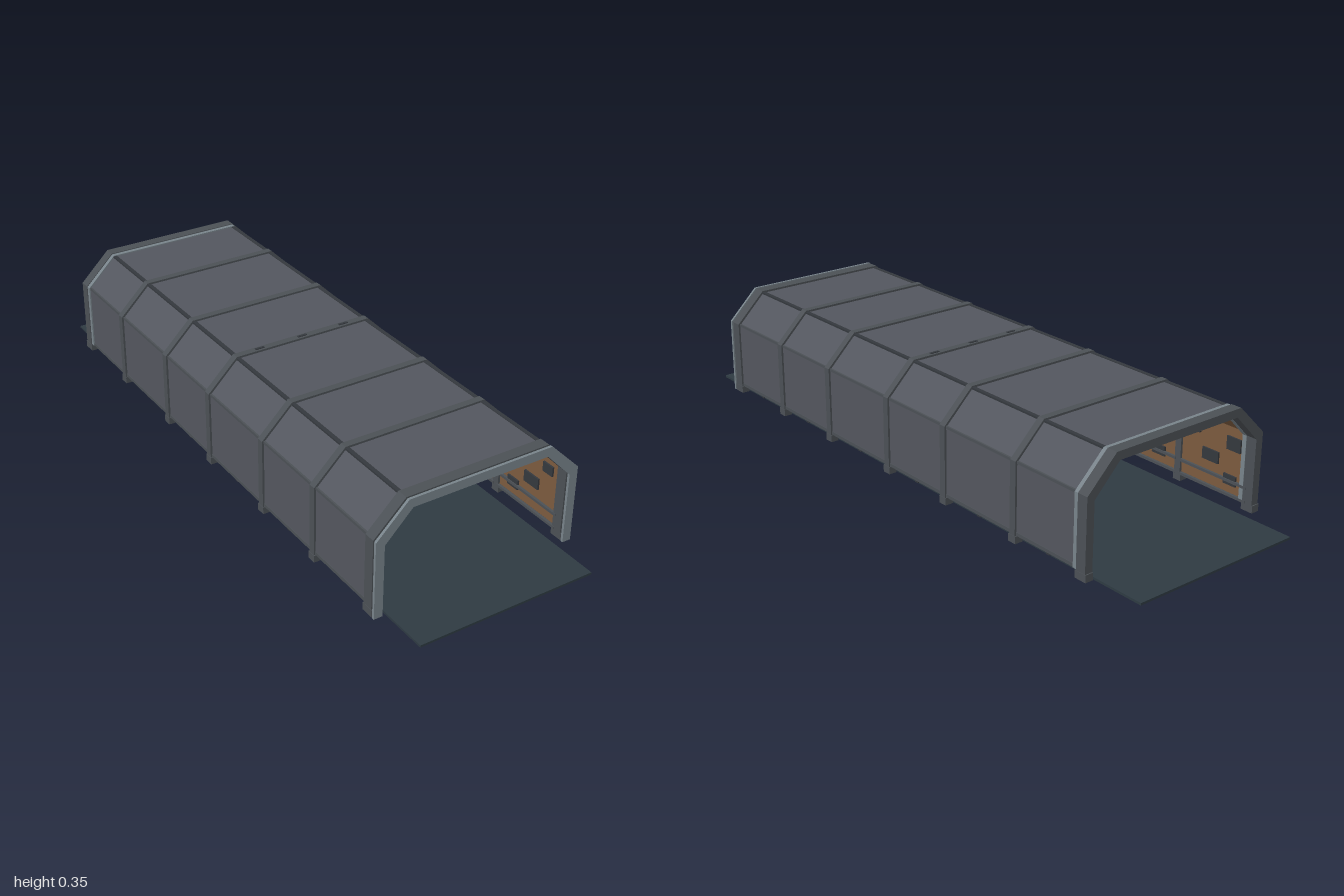
import * as THREE from 'three';

export function createModel() {
  const model = new THREE.Group();
  const mat = (name, color) => {
    const m = new THREE.MeshStandardMaterial({ color });
    m.name = name;
    return m;
  };
  const shellGrey = mat('shell grey', 0x53565e);
  const ribGrey = mat('rib grey', 0x4b5055);
  const frameGrey = mat('portal frame grey', 0x78838a);
  const darkTrim = mat('dark trim', 0x34383d);
  const floorSlate = mat('floor slate', 0x2e3a42);
  const liningBrown = mat('lining brown', 0x7b5a3e);

  const add = (name, geometry, material, x = 0, y = 0, z = 0) => {
    const mesh = new THREE.Mesh(geometry, material);
    mesh.name = name;
    mesh.position.set(x, y, z);
    model.add(mesh);
    return mesh;
  };
  const box = (name, w, h, d, material, x, y, z) =>
    add(name, new THREE.BoxGeometry(w, h, d), material, x, y, z);

  // Chamfered arch outline, set inwards by t
  const outline = (t, base) => {
    const half = [[0.325 - t, base], [0.325 - t, 0.25 - 0.63 * t], [0.228 - 0.48 * t, 0.345 - t]];
    return [...half, ...half.slice().reverse().map(([x, y]) => [-x, y])];
  };
  // Solid arch between two insets, running from z0 to z1
  const arch = (name, tOut, tIn, base, z0, z1, material) => {
    const points = [...outline(tOut, base), ...outline(tIn, base).reverse()];
    const shape = new THREE.Shape(points.map(([x, y]) => new THREE.Vector2(x, y)));
    const geometry = new THREE.ExtrudeGeometry(shape, { depth: z1 - z0, bevelEnabled: false });
    return add(name, geometry, material, 0, 0, z0);
  };

  // Floor mat
  box('floor', 0.56, 0.007, 2, floorSlate, 0, 0.0035, 0);

  // Ribs, with heavier ones at the two ends
  const ribs = [-0.828, -0.563, -0.265, 0, 0.3, 0.565, 0.83];
  ribs.forEach((z, i) => {
    const half = i === 0 || i === ribs.length - 1 ? 0.017 : 0.011;
    arch('rib', 0.001, 0.026, 0.012, z - half, z + half, ribGrey);
    for (const s of [-1, 1]) box('ribFoot', 0.026, 0.022, half * 2 + 0.006, ribGrey, s * 0.312, 0.023, z);
  });

  // Pale end frames
  arch('frontFrame', 0, 0.027, 0.012, 0.853, 0.861, frameGrey);
  arch('backSealFrame', 0.003, 0.027, 0.035, -0.811, -0.797, frameGrey);
  for (const s of [-1, 1]) {
    for (const y of [0.02, 0.24]) box('frameClip', 0.018, 0.014, 0.012, ribGrey, s * 0.311, y, 0.849);
    box('roofClip', 0.03, 0.012, 0.012, ribGrey, s * 0.16, 0.332, 0.849);
  }

  // Bays between the ribs
  for (let i = 0; i < ribs.length - 1; i++) {
    const z0 = ribs[i] + 0.008, z1 = ribs[i + 1] - 0.008;
    const mid = (z0 + z1) / 2, len = z1 - z0;
    arch('shellPanel', 0.007, 0.015, 0.035, z0, z1, shellGrey);
    arch('liningPanel', 0.0152, 0.019, 0.04, z0, z1, liningBrown);

    for (const s of [-1, 1]) {
      // Outer rails along the base, eaves and roof edges
      box('baseRail', 0.012, 0.01, len, ribGrey, s * 0.314, 0.04, mid);
      box('eavesRail', 0.008, 0.008, len, ribGrey, s * 0.315, 0.246, mid);
      box('roofRail', 0.012, 0.006, len, darkTrim, s * 0.222, 0.337, mid);
      box('drain', 0.012, 0.01, 0.014, darkTrim, s * 0.31, 0.032, mid);

      // Inner wall fittings
      const wallX = s * 0.3035;
      for (const [dz, y, d, h] of [[-0.28, 0.19, 0.2, 0.04], [0.05, 0.13, 0.24, 0.035],
        [0.3, 0.2, 0.16, 0.03], [-0.25, 0.08, 0.18, 0.03]]) {
        box('wallFitting', 0.006, h, d * len, darkTrim, wallX, y, mid + dz * len);
      }
      for (const y of [0.036, 0.078]) box('wallRail', 0.008, 0.008, len, ribGrey, s * 0.3015, y, mid);
    }

    // Ceiling bars
    for (const dz of [-0.25, 0.25]) box('ceilingBar', 0.38, 0.01, 0.035, darkTrim, 0, 0.313, mid + dz * len);
    for (const s of [-1, 1]) box('ceilingBarBracket', 0.03, 0.014, len * 0.6, ribGrey, s * 0.185, 0.322, mid);
  }

  // Small plates on the centre rib
  for (const x of [-0.145, 0, 0.145]) box('roofTab', 0.03, 0.003, 0.008, darkTrim, x, 0.3445, 0);

  return model;
}
